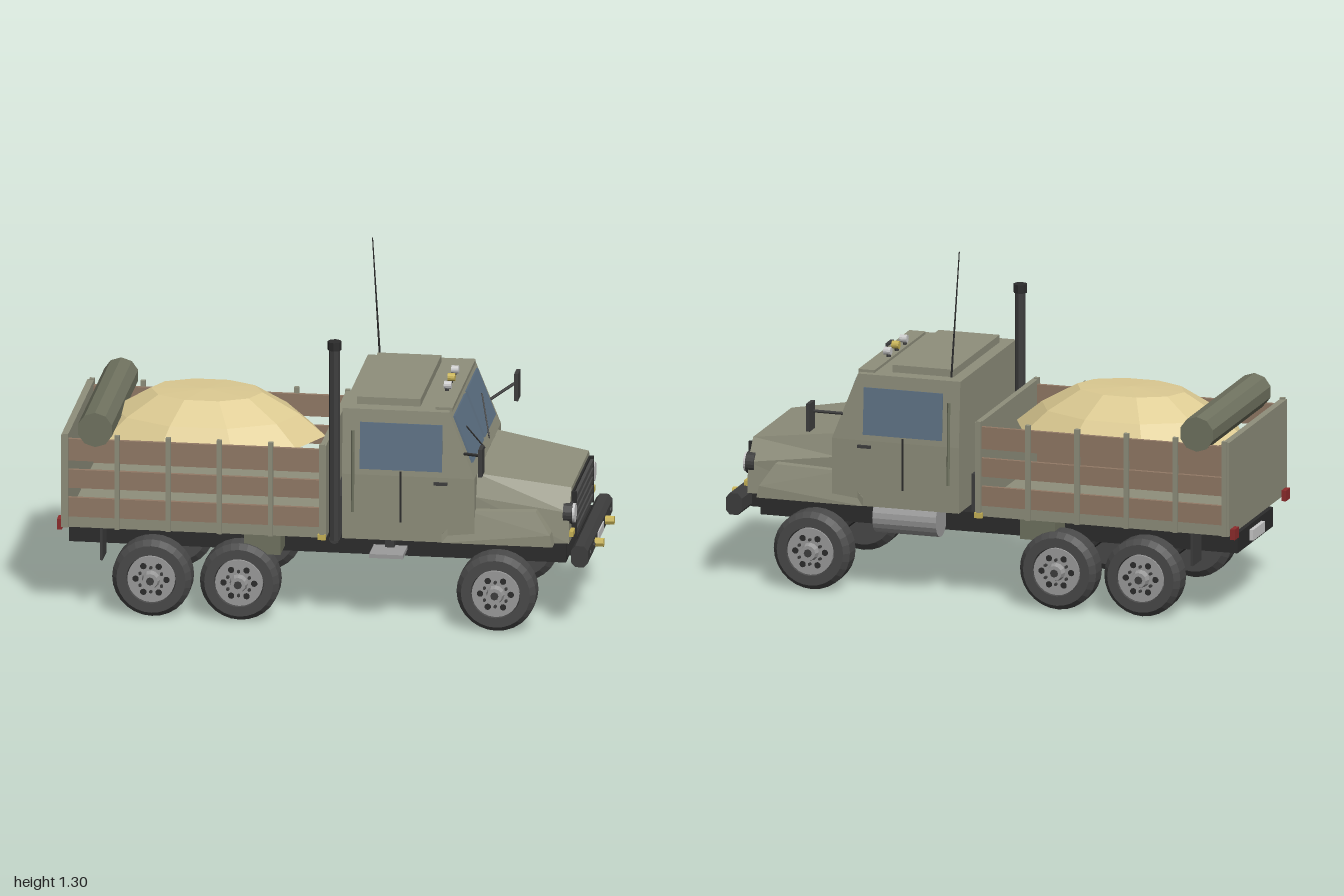
import * as THREE from 'three';

const mat = (color) => new THREE.MeshStandardMaterial({ color, flatShading: true });
const M = {
  olive: mat(0x8f8f7c), darkOlive: mat(0x707360), wood: mat(0x927a66), black: mat(0x2c2c2c),
  rubber: mat(0x4a4a4a), trim: mat(0x3e3e3e), glass: mat(0x5f7386), sand: mat(0xdcca92),
  amber: mat(0xc9b457), red: mat(0x8e2c2c), metal: mat(0x9c9c9c), light: mat(0xcccccc),
};

export function createModel() {
  const root = new THREE.Group();
  const add = (name, geo, m, x = 0, y = 0, z = 0, parent = root) => {
    const mesh = new THREE.Mesh(geo, m);
    mesh.name = name;
    mesh.position.set(x, y, z);
    parent.add(mesh);
    return mesh;
  };
  // Box given by its limits on each axis
  const box = (name, m, x0, x1, y0, y1, z0, z1) =>
    add(name, new THREE.BoxGeometry(x1 - x0, y1 - y0, z1 - z0), m, (x0 + x1) / 2, (y0 + y1) / 2, (z0 + z1) / 2);
  // The same box on both sides of the truck
  const boxes = (name, m, x0, x1, y0, y1, z0, z1) => {
    box(name, m, x0, x1, y0, y1, z0, z1);
    box(name, m, x0, x1, y0, y1, -z1, -z0);
  };
  // Side profile extruded across z
  const profile = (pts, z0, z1) => {
    const shape = new THREE.Shape(pts.map((p) => new THREE.Vector2(...p)));
    return new THREE.ExtrudeGeometry(shape, { depth: z1 - z0, bevelEnabled: false }).translate(0, 0, z0);
  };
  // Move vertices by a rule
  const reshape = (geo, rule) => {
    const p = geo.attributes.position;
    const v = new THREE.Vector3();
    for (let i = 0; i < p.count; i++) {
      rule(v.fromBufferAttribute(p, i));
      p.setXYZ(i, v.x, v.y, v.z);
    }
    geo.computeVertexNormals();
    return geo;
  };
  // Round bar between two points
  const rod = (name, m, a, b, r, r2 = r) => {
    const A = new THREE.Vector3(...a), B = new THREE.Vector3(...b), d = B.clone().sub(A);
    const mesh = add(name, new THREE.CylinderGeometry(r2, r, d.length(), 8), m);
    mesh.position.copy(A).add(B).multiplyScalar(0.5);
    mesh.quaternion.setFromUnitVectors(new THREE.Vector3(0, 1, 0), d.normalize());
    return mesh;
  };
  // Cylinder lying along x
  const discX = (name, m, x0, x1, y, z, r, n = 16) =>
    add(name, new THREE.CylinderGeometry(r, r, x1 - x0, n).rotateZ(Math.PI / 2), m, (x0 + x1) / 2, y, z);

  // Chassis
  box('chassis', M.black, -0.97, 0.87, 0.235, 0.308, -0.21, 0.21);
  box('rearPlate', M.light, -0.985, -0.97, 0.25, 0.29, -0.07, 0.07);

  // Wheels: tyre, rim, hub, holes and bolts
  const tyre = new THREE.LatheGeometry([[0, -0.055], [0.122, -0.055], [0.147, -0.035], [0.147, 0.032],
    [0.128, 0.055], [0.092, 0.055], [0.088, 0.035], [0, 0.035]].map((p) => new THREE.Vector2(...p)), 28).rotateX(Math.PI / 2);
  const cylZ = (r, h, n, r2 = r) => new THREE.CylinderGeometry(r2, r, h, n).rotateX(Math.PI / 2);
  for (const x of [-0.645, -0.32, 0.63]) {
    for (const s of [1, -1]) {
      const w = new THREE.Group();
      w.name = 'wheel';
      w.position.set(x, 0.149, s * 0.305);
      if (s < 0) w.rotation.y = Math.PI;
      root.add(w);
      add('tyre', tyre, M.rubber, 0, 0, 0, w);
      add('rim', cylZ(0.088, 0.02, 24), M.metal, 0, 0, 0.042, w);
      add('hub', cylZ(0.035, 0.03, 12, 0.028), M.metal, 0, 0, 0.063, w);
      add('hubCap', cylZ(0.015, 0.014, 8), M.trim, 0, 0, 0.075, w);
      for (let i = 0; i < 6; i++) {
        const a = (i * Math.PI) / 3, c = Math.cos(a), d = Math.sin(a);
        add('rimHole', cylZ(0.012, 0.004, 10), M.black, c * 0.057, d * 0.057, 0.052, w);
        const e = a + Math.PI / 6;
        add('bolt', cylZ(0.006, 0.014, 6), M.trim, Math.cos(e) * 0.046, Math.sin(e) * 0.046, 0.057, w);
      }
    }
  }
  for (const x of [-0.645, -0.32, 0.63]) rod('axle', M.black, [x, 0.149, -0.255], [x, 0.149, 0.255], 0.015);

  // Cargo bed with slatted sides
  box('bedFloor', M.olive, -0.98, 0, 0.33, 0.37, -0.335, 0.335);
  box('tailgate', M.olive, -0.98, -0.955, 0.33, 0.685, -0.34, 0.34);
  box('headboard', M.olive, -0.022, 0, 0.33, 0.685, -0.34, 0.34);
  for (const [y0, y1] of [[0.585, 0.668], [0.48, 0.55], [0.37, 0.443]])
    boxes('sideSlat', M.wood, -0.955, -0.022, y0, y1, 0.32, 0.335);
  for (let i = 0; i < 6; i++) {
    const x = -0.963 + i * 0.1895;
    boxes('sidePost', M.olive, x - 0.009, x + 0.009, 0.33, 0.69, 0.33, 0.347);
  }
  boxes('tailLight', M.red, -0.998, -0.98, 0.315, 0.355, 0.275, 0.325);
  boxes('sideMarker', M.amber, -0.03, 0, 0.325, 0.345, 0.335, 0.35);
  boxes('mudFlap', M.trim, -0.838, -0.828, 0.205, 0.345, 0.23, 0.33);
  boxes('toolBox', M.darkOlive, -0.305, -0.17, 0.255, 0.335, 0.21, 0.33);

  // Load of sand and rolled tarpaulin
  const heap = new THREE.LatheGeometry([[1, 0.615], [0.78, 0.695], [0.47, 0.772], [0, 0.778]]
    .map((p) => new THREE.Vector2(...p)), 10, Math.PI / 2);
  add('sandHeap', heap.scale(0.44, 1, 0.295), M.sand, -0.49);
  add('tarpRoll', cylZ(0.066, 0.68, 10), M.darkOlive, -0.855, 0.708, 0);

  // Cab: straight lower body, tapering upper body
  box('cabLower', M.olive, 0.06, 0.55, 0.335, 0.583, -0.345, 0.345);
  const upper = profile([[0.06, 0.583], [0.55, 0.583], [0.455, 0.83], [0.06, 0.83]], -0.345, 0.345);
  add('cabUpper', reshape(upper, (v) => { if (v.y > 0.7) v.z *= 0.95; }), M.olive);
  box('roofHatch', M.olive, 0.105, 0.34, 0.83, 0.858, -0.27, 0.27);
  box('roofVisor', M.olive, 0.4, 0.463, 0.825, 0.84, -0.3, 0.3);
  for (const z of [-0.095, 0, 0.095]) {
    const m = z ? M.light : M.amber;
    rod('roofLightBase', M.trim, [0.413, 0.83, z], [0.413, 0.855, z], 0.008);
    discX('roofLight', m, 0.403, 0.43, 0.862, z, 0.015, 12);
  }
  for (const s of [1, -1]) {
    const screen = add('windscreen', new THREE.BoxGeometry(0.012, 0.188, 0.28), M.glass, 0.5, 0.718, s * 0.155);
    screen.rotation.z = 0.367;
    const win = add('sideWindow', new THREE.BoxGeometry(0.305, 0.177, 0.01), M.glass, 0.278, 0.693, s * 0.336);
    win.rotation.x = -s * 0.07;
    rod('grabHandle', M.darkOlive, [0.1, 0.44, s * 0.351], [0.1, 0.75, s * 0.342], 0.006);
    rod('mirrorArm', M.trim, [0.51, 0.675, s * 0.33], [0.59, 0.708, s * 0.45], 0.006);
    const z = s * 0.466;
    box('mirror', M.trim, 0.586, 0.6, 0.64, 0.745, z - 0.03, z + 0.03);
    rod('wiper', M.trim, [0.548, 0.615, s * 0.06], [0.5, 0.74, s * 0.2], 0.003);
  }
  boxes('doorGap', M.black, 0.274, 0.28, 0.405, 0.6, 0.34, 0.347);
  boxes('doorHandle', M.trim, 0.4, 0.45, 0.555, 0.566, 0.345, 0.354);

  // Bonnet: six-point section tapering towards the nose
  const section = (a, x) => [...a.map(([z, y]) => [x, y, z]), ...a.slice().reverse().map(([z, y]) => [x, y, -z])];
  const back = section([[0.3, 0.335], [0.297, 0.5], [0.268, 0.583]], 0.545);
  const front = section([[0.295, 0.335], [0.285, 0.45], [0.225, 0.53]], 0.893);
  const idx = [];
  for (let i = 0; i < 6; i++) {
    const j = (i + 1) % 6;
    idx.push(i, i + 6, j, j, i + 6, j + 6);
  }
  for (let i = 1; i < 5; i++) idx.push(6, 6 + i + 1, 6 + i);
  // Wind every face outwards from the section centre
  const pts = [...back, ...front].map((p) => new THREE.Vector3(...p));
  const mid = new THREE.Vector3(0.72, 0.44, 0);
  const pos = [];
  for (let i = 0; i < idx.length; i += 3) {
    let [a, b, c] = [pts[idx[i]], pts[idx[i + 1]], pts[idx[i + 2]]];
    const n = b.clone().sub(a).cross(c.clone().sub(a));
    if (n.dot(a.clone().sub(mid)) < 0) [b, c] = [c, b];
    pos.push(...a.toArray(), ...b.toArray(), ...c.toArray());
  }
  const bonnet = new THREE.BufferGeometry();
  bonnet.setAttribute('position', new THREE.Float32BufferAttribute(pos, 3));
  bonnet.computeVertexNormals();
  add('bonnet', bonnet, M.olive);

  // Front wings, leaning in towards the bonnet
  const wingPts = [[0.43, 0.335], [0.84, 0.335], [0.83, 0.38], [0.775, 0.462], [0.52, 0.455], [0.43, 0.368]];
  for (const s of [1, -1]) {
    const wing = profile(wingPts, s > 0 ? 0.24 : -0.35, s > 0 ? 0.35 : -0.24);
    add('frontWing', reshape(wing, (v) => { if (v.y > 0.4 && Math.abs(v.z) > 0.3) v.z = s * 0.328; }), M.olive);
  }

  // Grille and lamps
  box('grille', M.black, 0.885, 0.9, 0.335, 0.512, -0.22, 0.22);
  for (let i = 0; i < 5; i++) box('grilleBar', M.rubber, 0.895, 0.912, 0.35 + i * 0.033, 0.37 + i * 0.033, -0.215, 0.215);
  boxes('grilleSide', M.black, 0.89, 0.912, 0.335, 0.512, 0.212, 0.222);
  for (const s of [1, -1]) {
    discX('headlightRing', M.trim, 0.87, 0.903, 0.442, s * 0.253, 0.041, 20);
    discX('headlight', M.light, 0.89, 0.912, 0.442, s * 0.253, 0.036, 20);
    discX('fogLamp', M.amber, 0.96, 1, 0.295, s * 0.135, 0.017, 8);
    for (const z of [0.165, 0.262]) discX('bumperBolt', M.rubber, 0.963, 0.971, 0.295, s * z, 0.009, 8);
  }
  boxes('indicator', M.amber, 0.885, 0.908, 0.36, 0.38, 0.24, 0.29);

  // Front bumper with chamfered edges
  const bumper = profile([[0.92, 0.255], [0.952, 0.255], [0.967, 0.272], [0.967, 0.318],
    [0.952, 0.336], [0.92, 0.336], [0.905, 0.318], [0.905, 0.272]], -0.322, 0.322);
  add('frontBumper', bumper, M.trim);
  box('bumperMount', M.black, 0.86, 0.91, 0.26, 0.33, -0.2, 0.2);
  box('frontPlate', M.light, 0.965, 0.972, 0.28, 0.312, -0.068, 0.068);

  // Exhaust stack, aerial, fuel tank, step and rear cab box
  rod('exhaustStack', M.trim, [0.02, 0.3, 0.255], [0.02, 1.04, 0.255], 0.02);
  rod('exhaustCap', M.black, [0.02, 1.03, 0.255], [0.02, 1.062, 0.255], 0.026);
  rod('exhaustElbow', M.trim, [0.02, 0.305, 0.18], [0.02, 0.305, 0.265], 0.02);
  rod('aerial', M.black, [0.113, 0.83, -0.272], [0.087, 1.303, -0.258], 0.004, 0.002);
  discX('fuelTank', M.metal, 0.155, 0.4, 0.287, -0.262, 0.066, 20);
  box('step', M.metal, 0.16, 0.285, 0.262, 0.277, 0.22, 0.34);
  box('stepBracket', M.trim, 0.205, 0.24, 0.268, 0.335, 0.2, 0.25);
  box('cabRearBox', M.trim, 0.005, 0.06, 0.3, 0.45, -0.2, 0.2);

  return root;
}
